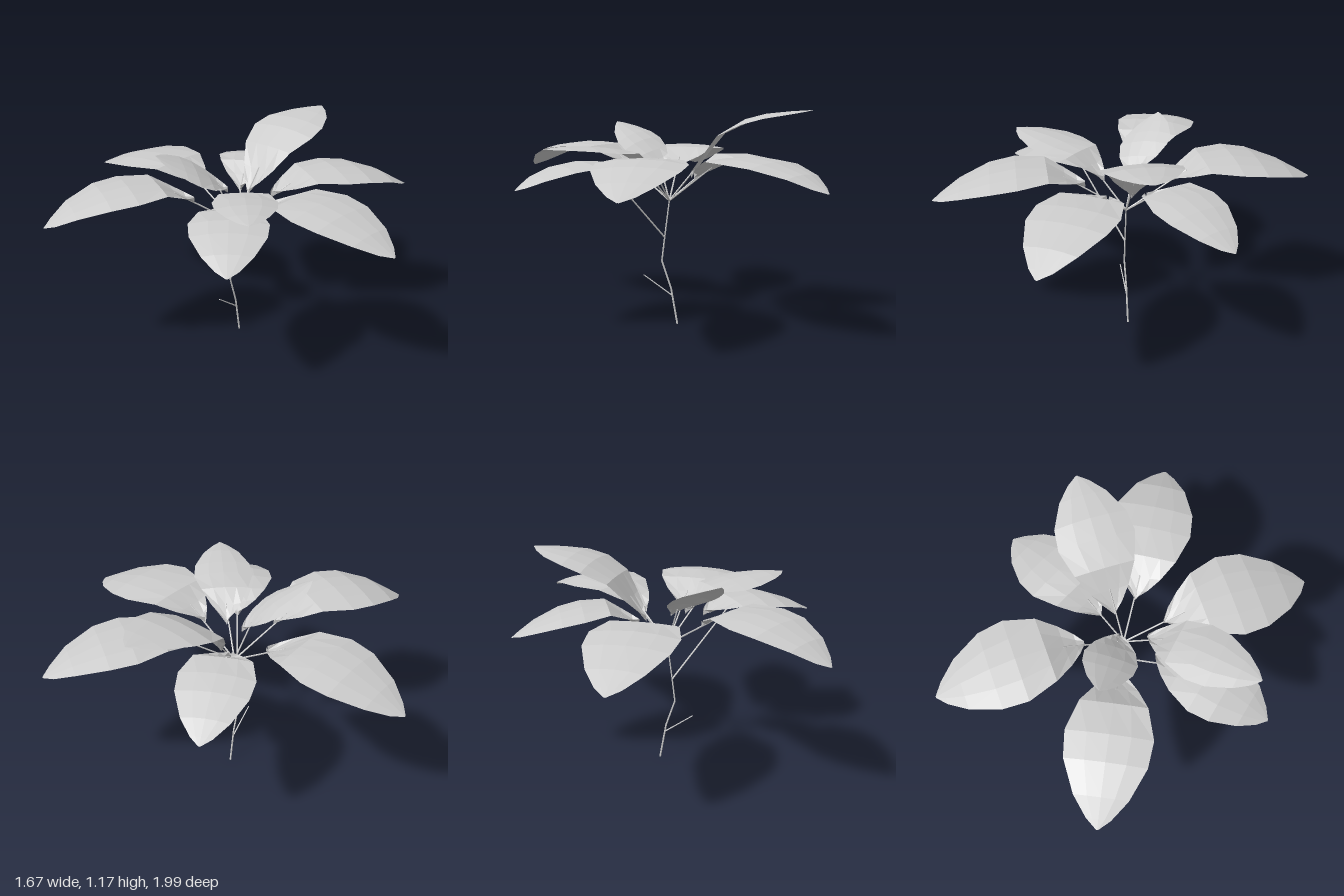
import * as THREE from 'three';

const plantMat = new THREE.MeshStandardMaterial({ color: 0xcccccc, flatShading: true, side: THREE.DoubleSide });
const hub = [0.035, 0.68, 0];

// outline: position along the leaf and relative half width
const outline = [[0, 0.03], [0.05, 0.25], [0.13, 0.5], [0.25, 0.78], [0.45, 1], [0.62, 0.94], [0.82, 0.62], [0.94, 0.28], [1, 0.02]];
const columns = [-1, -0.5, 0, 0.5, 1];

// height at t from five evenly spaced heights along the midrib
function heightAt(heights, t) {
  const f = Math.min(t * 4, 3.9999), i = Math.floor(f);
  return THREE.MathUtils.lerp(heights[i], heights[i + 1], f - i);
}

function midribPoint({ base, tip, heights }, t) {
  return new THREE.Vector3(
    THREE.MathUtils.lerp(base[0], tip[0], t), heightAt(heights, t), THREE.MathUtils.lerp(base[1], tip[1], t));
}

// leaf blade: cross-sections along the midrib, cupped at the base and drooping at the rim
function leafBlade(spec) {
  const { base, tip, half, roll = 0 } = spec;
  const dx = tip[0] - base[0], dz = tip[1] - base[1], len = Math.hypot(dx, dz);
  const pos = [], index = [];
  outline.forEach(([t, w], r) => {
    const p = midribPoint(spec, t);
    const cup = 0.035 * Math.max(0, 1 - t / 0.35);
    for (const s of columns) {
      const off = s * w * half;
      pos.push(p.x - dz / len * off, p.y + (cup - 0.022 * w) * s * s + roll * off, p.z + dx / len * off);
    }
    if (r === 0) return;
    for (let c = 0; c < columns.length - 1; c++) {
      const b = r * columns.length + c, a = b - columns.length;
      index.push(a, a + 1, b, a + 1, b + 1, b);
    }
  });
  const geo = new THREE.BufferGeometry();
  geo.setAttribute('position', new THREE.Float32BufferAttribute(pos, 3));
  geo.setIndex(index.reverse());
  geo.computeVertexNormals();
  return new THREE.Mesh(geo, plantMat);
}

// thin tapered rod between two points
function rod(name, from, to, r0, r1) {
  const a = new THREE.Vector3(...from), b = new THREE.Vector3(...to);
  const dir = b.clone().sub(a);
  const mesh = new THREE.Mesh(new THREE.CylinderGeometry(r1, r0, dir.length(), 5), plantMat);
  mesh.position.copy(a).add(b).multiplyScalar(0.5);
  mesh.quaternion.setFromUnitVectors(new THREE.Vector3(0, 1, 0), dir.normalize());
  mesh.name = name;
  return mesh;
}

// base and tip are [x, z]; heights run from base to tip
const leaves = [
  { name: 'backLeaf', base: [0.05, -0.21], tip: [0.09, -1.0], half: 0.225, heights: [0.82, 0.94, 0.95, 0.9, 0.8] },
  { name: 'frontLeaf', base: [0.0, 0.21], tip: [-0.07, 0.99], half: 0.225, heights: [0.82, 0.94, 0.95, 0.9, 0.8] },
  { name: 'backLeftLeaf', base: [0.17, -0.07], tip: [0.78, -0.33], half: 0.19, heights: [0.8, 0.92, 0.92, 0.87, 0.78] },
  { name: 'raisedLeftLeaf', base: [0.15, 0.0], tip: [0.78, 0.06], half: 0.2, heights: [0.8, 1.04, 1.135, 1.155, 1.165] },
  { name: 'frontLeftLeaf', base: [0.18, 0.13], tip: [0.83, 0.59], half: 0.215, heights: [0.81, 0.93, 0.945, 0.91, 0.8] },
  { name: 'frontRightLowerLeaf', base: [-0.14, 0.1], tip: [-0.67, 0.48], half: 0.195, heights: [0.82, 0.9, 0.91, 0.87, 0.78],
    from: [0.01, 0.48, 0], jointAt: 0.3 },
  { name: 'frontRightUpperLeaf', base: [-0.04, 0.1], tip: [-0.52, 0.49], half: 0.16, heights: [0.82, 0.96, 0.985, 0.995, 0.985] },
  { name: 'backRightLeaf', base: [-0.17, -0.11], tip: [-0.84, -0.51], half: 0.215, heights: [0.83, 0.965, 0.98, 0.94, 0.82] },
  { name: 'youngLeaf', base: [0.01, -0.03], tip: [-0.29, -0.26], half: 0.135, heights: [0.85, 0.94, 1.01, 1.05, 1.09], roll: 0.2 },
];

export function createModel() {
  const model = new THREE.Group();
  model.name = 'plant';

  // crooked stem
  const stem = [[0.08, 0, 0], [0.045, 0.2, 0], [-0.005, 0.35, 0], [0.01, 0.48, 0], hub];
  for (let i = 0; i < stem.length - 1; i++) {
    model.add(rod('stemSegment', stem[i], stem[i + 1], 0.0055 - i * 0.0004, 0.0051 - i * 0.0004));
  }
  model.add(rod('bareTwig', [0.05, 0.16, 0], [-0.105, 0.27, 0], 0.004, 0.003));

  // leaves, each on a stalk that meets the underside of the midrib
  for (const spec of leaves) {
    const group = new THREE.Group();
    group.name = spec.name;
    const blade = leafBlade(spec);
    blade.name = 'blade';
    const joint = midribPoint(spec, spec.jointAt ?? 0.14);
    group.add(blade, rod('stalk', spec.from ?? hub, joint.toArray(), 0.005, 0.004));
    model.add(group);
  }
  return model;
}
